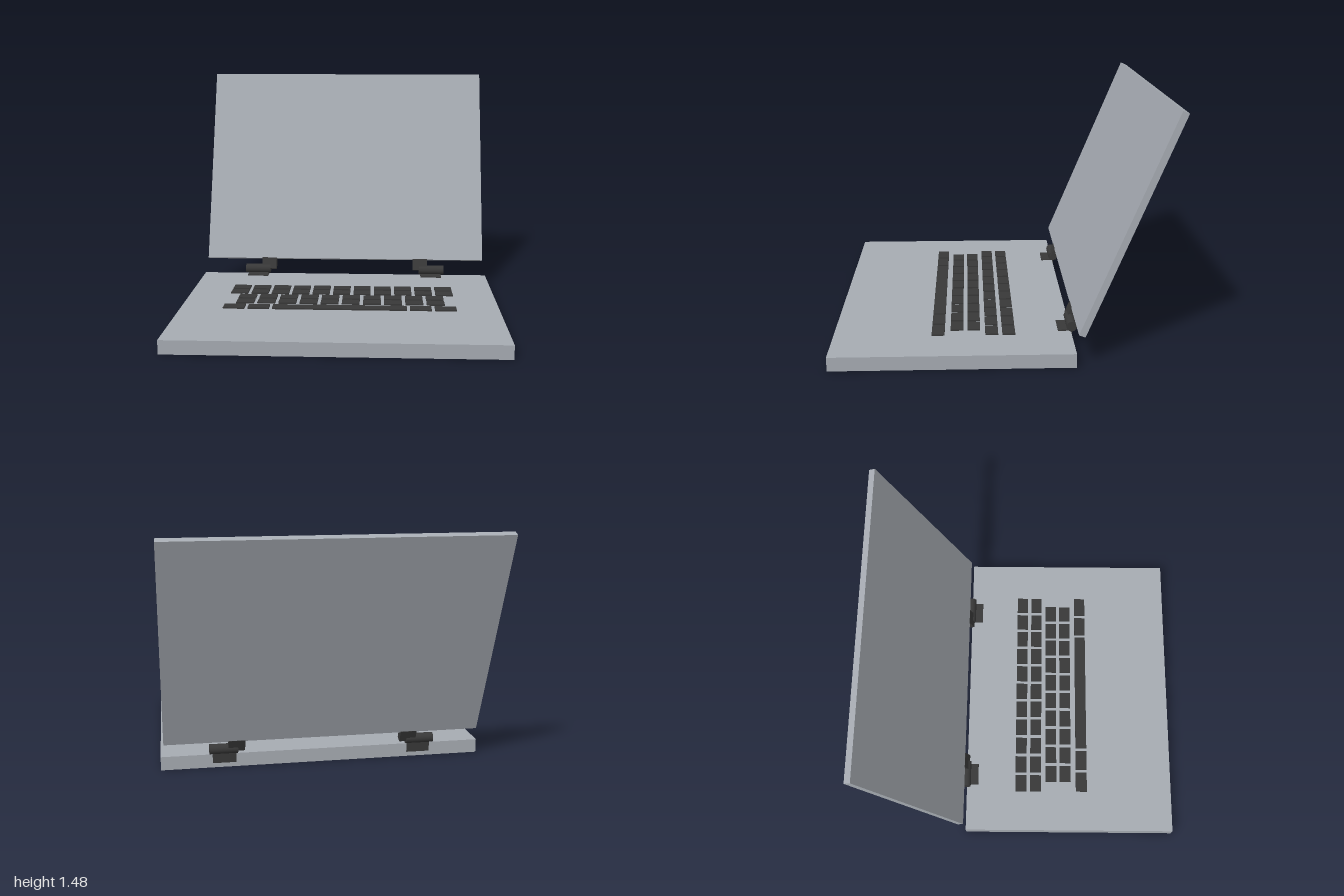
import * as THREE from 'three';

export function createModel() {
  const model = new THREE.Group();
  const casing = new THREE.MeshStandardMaterial({ name: 'casingGrey', color: 0xa6abb2 });
  const dark = new THREE.MeshStandardMaterial({ name: 'darkPlastic', color: 0x383838 });

  // Box spanning the given extents on each axis
  const box = (name, material, [x0, x1], [y0, y1], [z0, z1], parent = model) => {
    const mesh = new THREE.Mesh(new THREE.BoxGeometry(x1 - x0, y1 - y0, z1 - z0), material);
    mesh.position.set((x0 + x1) / 2, (y0 + y1) / 2, (z0 + z1) / 2);
    mesh.name = name;
    parent.add(mesh);
    return mesh;
  };

  const deck = 0.085;
  const back = -0.428;
  box('base', casing, [-1, 1], [0, deck], [back, 0.993]);

  // Tilted lid group, pivoting on the hinge axis
  const pivotY = 0.12, pivotZ = -0.431;
  const lid = new THREE.Group();
  lid.name = 'lid';
  lid.position.set(0, pivotY, pivotZ);
  lid.rotation.x = -THREE.MathUtils.degToRad(22);
  model.add(lid);
  box('screenPanel', casing, [-0.98, 0.98], [0.07, 1.457], [-0.02, 0.02], lid);

  // Hinges, mirrored left and right
  for (const side of [1, -1]) {
    const span = (a, b) => (side > 0 ? [a, b] : [-b, -a]);
    const barrel = new THREE.Mesh(new THREE.CylinderGeometry(0.031, 0.031, 0.175, 24), dark);
    barrel.name = 'hingeBarrel';
    barrel.rotation.z = Math.PI / 2;
    barrel.position.set(side * 0.6175, pivotY, pivotZ);
    model.add(barrel);
    box('hingeArm', dark, span(0.487, 0.59), [-0.004, 0.075], [-0.022, 0.022], lid);
    box('hingeLeaf', dark, span(0.54, 0.685), [deck, deck + 0.007], [back - 0.008, -0.35]);
    box('hingeBackFlap', dark, span(0.54, 0.685), [0.03, deck + 0.007], [back - 0.008, back]);
  }

  // Keyboard
  const keyboard = new THREE.Group();
  keyboard.name = 'keyboard';
  model.add(keyboard);
  const key = (name, x, z, width) =>
    box(name, dark, [x - width / 2, x + width / 2], [deck, deck + 0.009], [z - 0.0385, z + 0.0385], keyboard);
  const pitch = 0.135;
  for (const [z, count] of [[-0.052, 11], [0.05, 11], [0.157, 10], [0.258, 10]]) {
    for (let i = 0; i < count; i++) key('key', (i - (count - 1) / 2) * pitch, z, 0.113);
  }
  const lastRow = 0.37;
  key('spaceBar', 0, lastRow, 0.844);
  for (const side of [1, -1]) {
    key('modifierKey', side * 0.509, lastRow, 0.134);
    key('modifierKey', side * 0.664, lastRow, 0.134);
  }
  return model;
}
